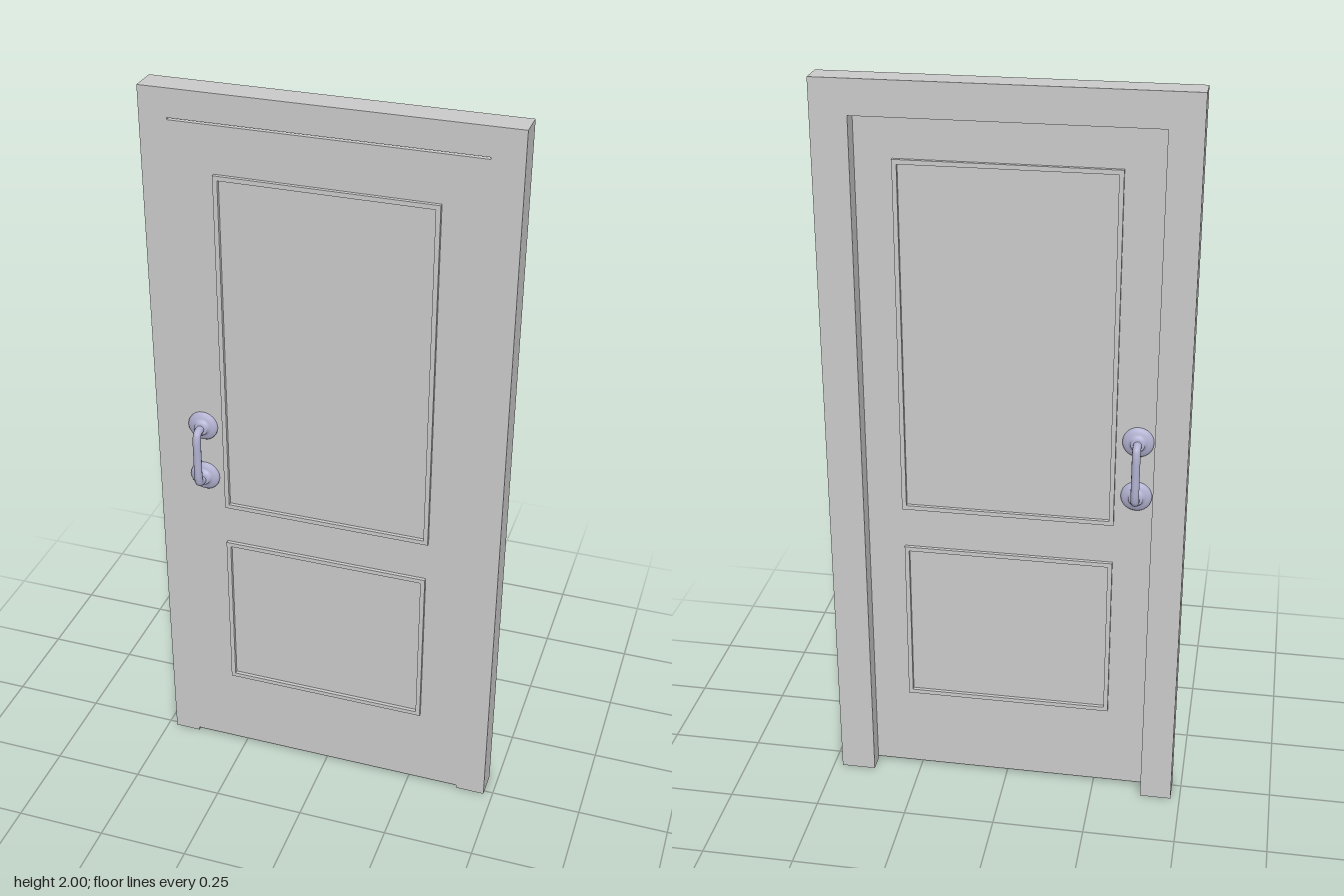
import * as THREE from 'three';

const grey = new THREE.MeshStandardMaterial({ color: 0xcccccc });
const metal = new THREE.MeshStandardMaterial({ color: 0xb4b4d4 });

function add(parent, name, geometry, material = grey) {
  const mesh = new THREE.Mesh(geometry, material);
  mesh.name = name;
  parent.add(mesh);
  return mesh;
}

const extrude = (shape, z0, z1) =>
  new THREE.ExtrudeGeometry(shape, { depth: z1 - z0, bevelEnabled: false }).translate(0, 0, z0);

const polygon = (points) => points.map(([x, y]) => new THREE.Vector2(x, y));

// Door surround: two legs and a lintel around an opening that reaches the floor
function surround(left, right, top) {
  return new THREE.Shape(polygon([
    [-0.475, 0], [left, 0], [left, top], [right, top],
    [right, 0], [0.475, 0], [0.475, 2], [-0.475, 2],
  ]));
}

// Rectangular ring of moulding
function ring(x0, x1, y0, y1, w) {
  const rect = (a, b, c, d) => polygon([[a, c], [b, c], [b, d], [a, d]]);
  const shape = new THREE.Shape(rect(x0, x1, y0, y1));
  shape.holes.push(new THREE.Path(rect(x0 + w, x1 - w, y0 + w, y1 - w).reverse()));
  return shape;
}

const FRONT = 0.012, BACK = -0.015;

// Pull handle, standing on z = 0 and projecting toward +z
function createHandle(name) {
  const handle = new THREE.Group();
  handle.name = name;
  const profile = [[0.041, 0], [0.041, 0.004], [0.037, 0.009], [0.027, 0.012],
    [0.02, 0.014], [0.019, 0.021], [0.016, 0.024], [0, 0.025]];
  const rosette = new THREE.LatheGeometry(polygon(profile), 24).rotateX(Math.PI / 2);
  for (const s of [1, -1]) {
    add(handle, s > 0 ? 'upperRosette' : 'lowerRosette', rosette, metal).position.y = s * 0.078;
  }
  const path = new THREE.CatmullRomCurve3([
    [0.078, 0.01], [0.079, 0.03], [0.075, 0.044], [0.06, 0.049], [0, 0.05],
    [-0.06, 0.049], [-0.075, 0.044], [-0.079, 0.03], [-0.078, 0.01],
  ].map(([y, z]) => new THREE.Vector3(0, y, z)));
  add(handle, 'grip', new THREE.TubeGeometry(path, 48, 0.011, 12), metal);
  return handle;
}

export function createModel() {
  const door = new THREE.Group();
  door.name = 'door';

  // Frame, rebated at the front to take the leaf
  const frame = new THREE.Group();
  frame.name = 'frame';
  add(frame, 'frameStop', extrude(surround(-0.389, 0.38, 1.91), -0.063, BACK));
  add(frame, 'frameRebate', extrude(surround(-0.402, 0.394, 1.926), BACK, FRONT));
  door.add(frame);

  // Leaf, with a thin gap above and below
  const leaf = add(door, 'leaf', new THREE.BoxGeometry(0.796, 1.911, FRONT - BACK));
  leaf.position.set(-0.004, 0.9655, (FRONT + BACK) / 2);

  // Panel mouldings on both faces
  const panels = { upper: [-0.286, 0.284, 0.835, 1.797], lower: [-0.286, 0.28, 0.248, 0.72] };
  for (const [name, r] of Object.entries(panels)) {
    const shape = ring(...r, 0.012);
    add(door, name + 'FrontMoulding', extrude(shape, FRONT, FRONT + 0.01));
    add(door, name + 'BackMoulding', extrude(shape, BACK - 0.01, BACK));
  }

  // Handles on both faces
  const front = createHandle('frontHandle');
  front.position.set(-0.343, 1.002, FRONT);
  const back = createHandle('backHandle');
  back.position.set(-0.343, 1.002, BACK);
  back.rotation.y = Math.PI;
  door.add(front, back);

  return door;
}
